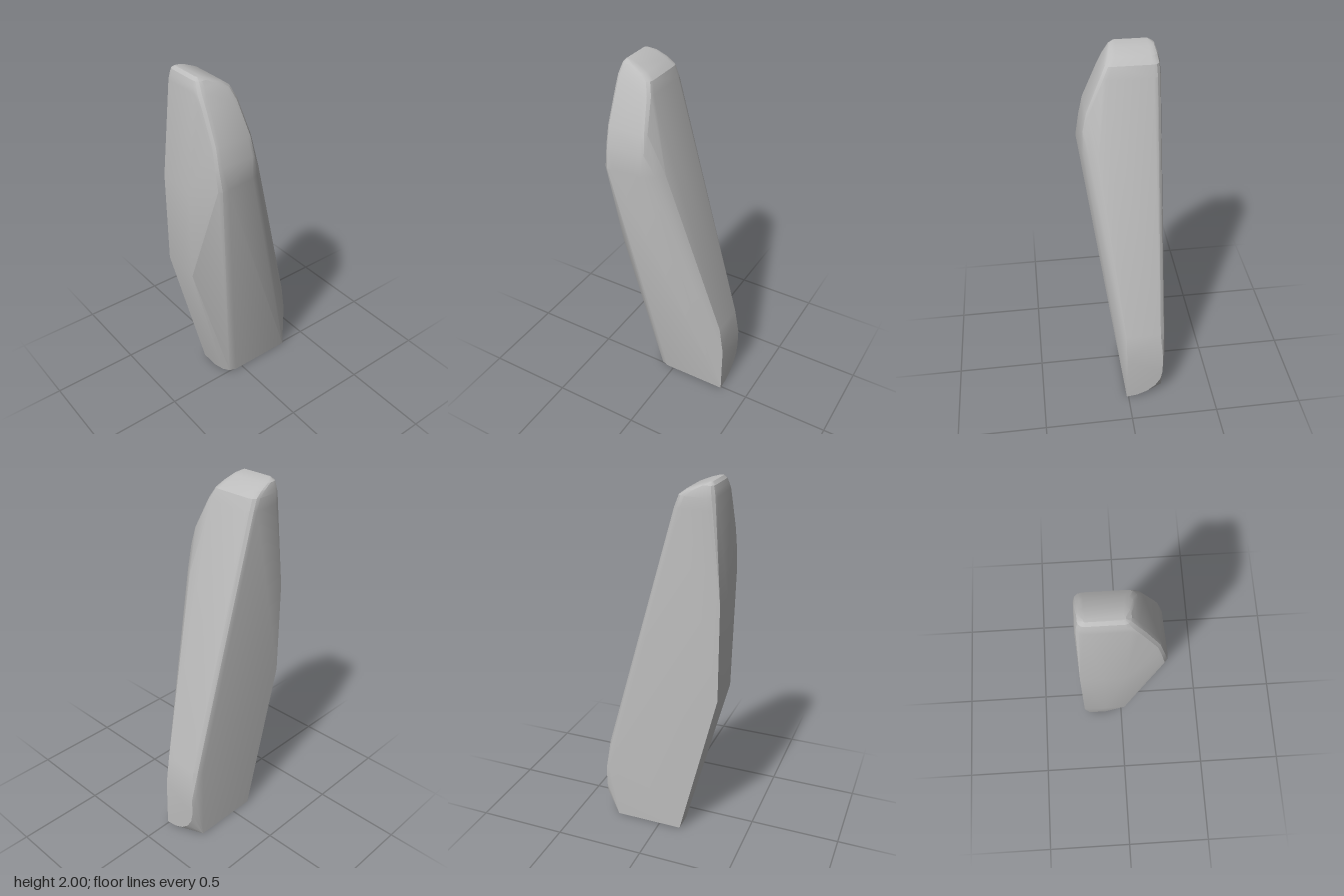
import * as THREE from 'three';
import { ConvexGeometry } from 'three/addons/geometries/ConvexGeometry.js';
import { toCreasedNormals } from 'three/addons/utils/BufferGeometryUtils.js';

// Rounded rectangle at height y, spanning x0..x1 and z0..z1 with corner radius r
function roundedSection(y, x0, x1, z0, z1, r, steps = 3) {
  const points = [];
  for (const sx of [-1, 1]) {
    for (const sz of [-1, 1]) {
      const cx = sx < 0 ? x0 + r : x1 - r;
      const cz = sz < 0 ? z0 + r : z1 - r;
      for (let i = 0; i <= steps; i++) {
        const a = (i / steps) * Math.PI / 2;
        points.push(new THREE.Vector3(cx + sx * r * Math.cos(a), y, cz + sz * r * Math.sin(a)));
      }
    }
  }
  return points;
}

// Points of a loose ring at height y
const ring = (y, pairs) => pairs.map(([x, z]) => new THREE.Vector3(x, y, z));

// Flat foot with a chamfered front corner, and a back corner cut by a curve
function footPoints() {
  const points = ring(0, [[0.335, 0.01], [-0.045, 0.01], [-0.085, -0.005], [-0.11, -0.04], [-0.125, -0.1], [-0.125, -0.21], [0.26, -0.21]]);
  for (let i = 1; i <= 5; i++) {
    const a = (i / 5) * Math.PI / 2;
    points.push(new THREE.Vector3(0.335, 0.19 * (1 - Math.cos(a)), 0.01 - 0.21 * Math.sin(a)));
  }
  return points;
}

// Upright side, bulging opposite side and front ridge
function bodyPoints() {
  const side = [[-0.335, 0.005], [-0.337, -0.1], [-0.335, -0.215]];
  return [
    ...ring(0.3, [[0.335, 0.008], [0.335, -0.2], [0.315, -0.21]]),
    ...ring(0.47, [[0.31, 0.01], [0.312, -0.185], [0.295, -0.206], [0.26, -0.215]]),
    ...ring(0.87, side),
    ...ring(1.4, side),
    ...ring(1.48, [[-0.3, 0.175], [-0.292, 0.198], [-0.275, 0.212], [-0.24, 0.215], [-0.08, 0.2], [-0.045, 0.19], [-0.01, 0.165], [0.02, 0.12]]),
  ];
}

// Tapering rounded tip: y, x0, x1, z0, z1, radius
const tipSections = [
  [1.6, -0.298, -0.045, -0.21, 0.195, 0.035],
  [1.7, -0.296, -0.055, -0.21, 0.173, 0.035],
  [1.87, -0.296, -0.078, -0.215, 0.1, 0.04],
  [1.93, -0.296, -0.1, -0.212, 0.07, 0.04],
  [1.96, -0.291, -0.14, -0.207, 0.052, 0.04],
  [1.985, -0.283, -0.2, -0.198, 0.035, 0.03],
  [2, -0.268, -0.25, -0.17, 0.01, 0.008],
];

export function createModel() {
  const group = new THREE.Group();
  group.name = 'leaningSlab';
  const grey = new THREE.MeshStandardMaterial({ color: 0xbcbcbc });
  grey.name = 'plain grey';

  // Solid skin stretched over foot, body and tip, with soft rounded edges
  const points = [...footPoints(), ...bodyPoints(), ...tipSections.flatMap((s) => roundedSection(...s))];
  const body = new THREE.Mesh(toCreasedNormals(new ConvexGeometry(points), 0.42), grey);
  body.name = 'slabBody';
  group.add(body);
  return group;
}
